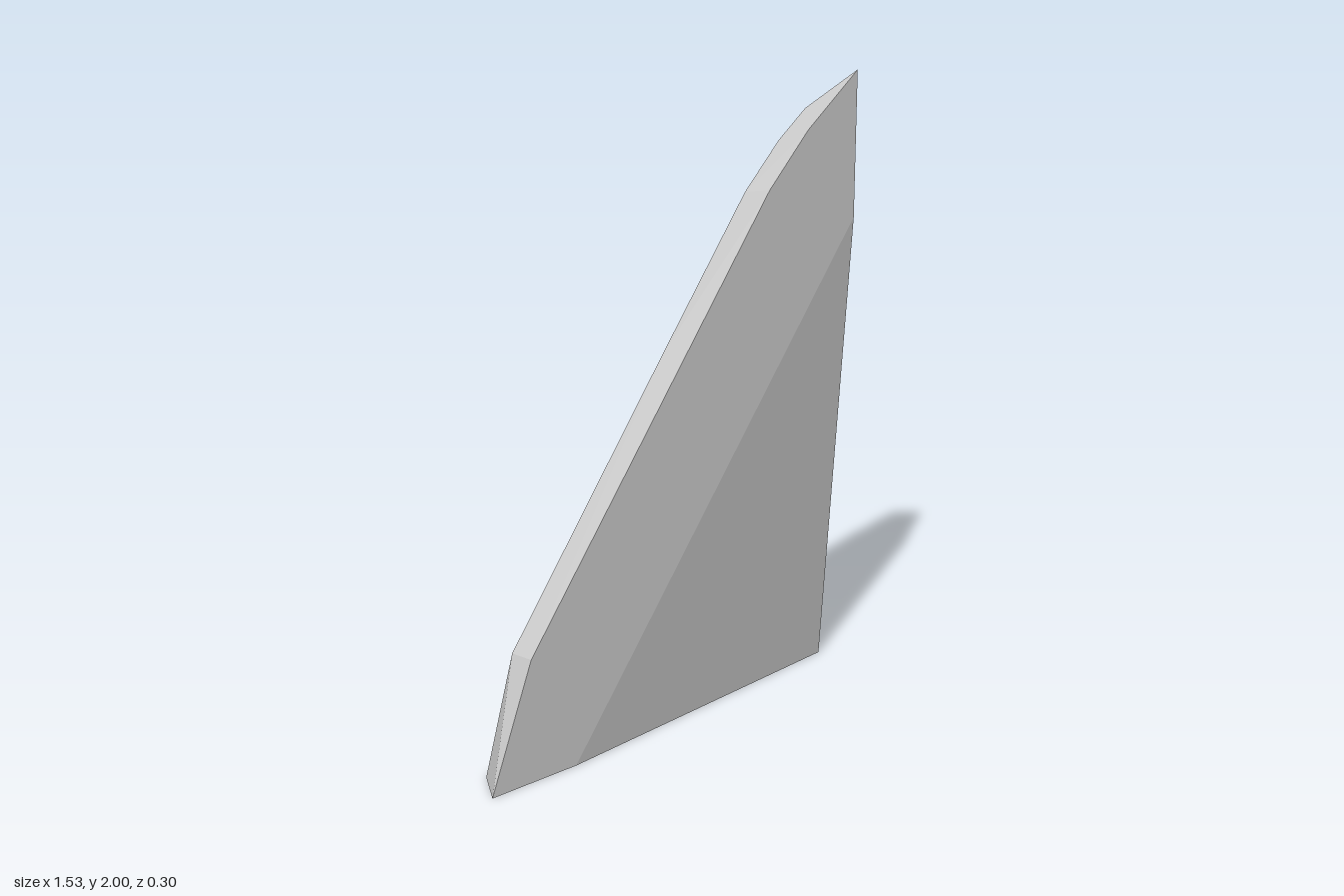
import * as THREE from 'three';
import { ConvexGeometry } from 'three/addons/geometries/ConvexGeometry.js';

const R = 0.765; // flat side
const F = 0.152; // front plane

export function createModel() {
  const group = new THREE.Group();
  group.name = 'wedgePanel';

  // Front outline, ending at the corners where the lower facet slopes back
  const front = [
    [-0.765, 0, F], [-0.61, 0.39, F], [0.37, 1.66, F], [0.54, 1.83, F], [R, 2, F],
    [R, 1.53, F], [-0.44, 0, F], [R, 0, 0.045],
  ];

  // Rim where the slanted side wall meets the domed back
  const rim = [
    [-0.69, 0, 0.03], [-0.61, 0.385, 0.065], [0, 1.178, 0.058],
    [0.37, 1.643, 0.047], [0.52, 1.79, 0.046], [0.64, 1.88, 0.046], [R, 1.92, 0.036],
  ];

  // Back edge of the flat side
  const sideEdge = [[1.76, 0], [0.78, -0.135], [0.57, -0.148], [0, -0.152]]
    .map(([y, z]) => [R, y, z]);

  // Back edge of the base
  const baseEdge = [[-0.53, -0.022], [-0.19, -0.108], [0, -0.135], [0.2, -0.148], [0.4, -0.152]]
    .map(([x, z]) => [x, 0, z]);

  const points = [...front, ...rim, ...sideEdge, ...baseEdge]
    .map((p) => new THREE.Vector3(...p));
  const panel = new THREE.Mesh(
    new ConvexGeometry(points),
    new THREE.MeshStandardMaterial({ color: 0xcccccc, flatShading: true }),
  );
  panel.name = 'panelBody';
  group.add(panel);
  return group;
}
